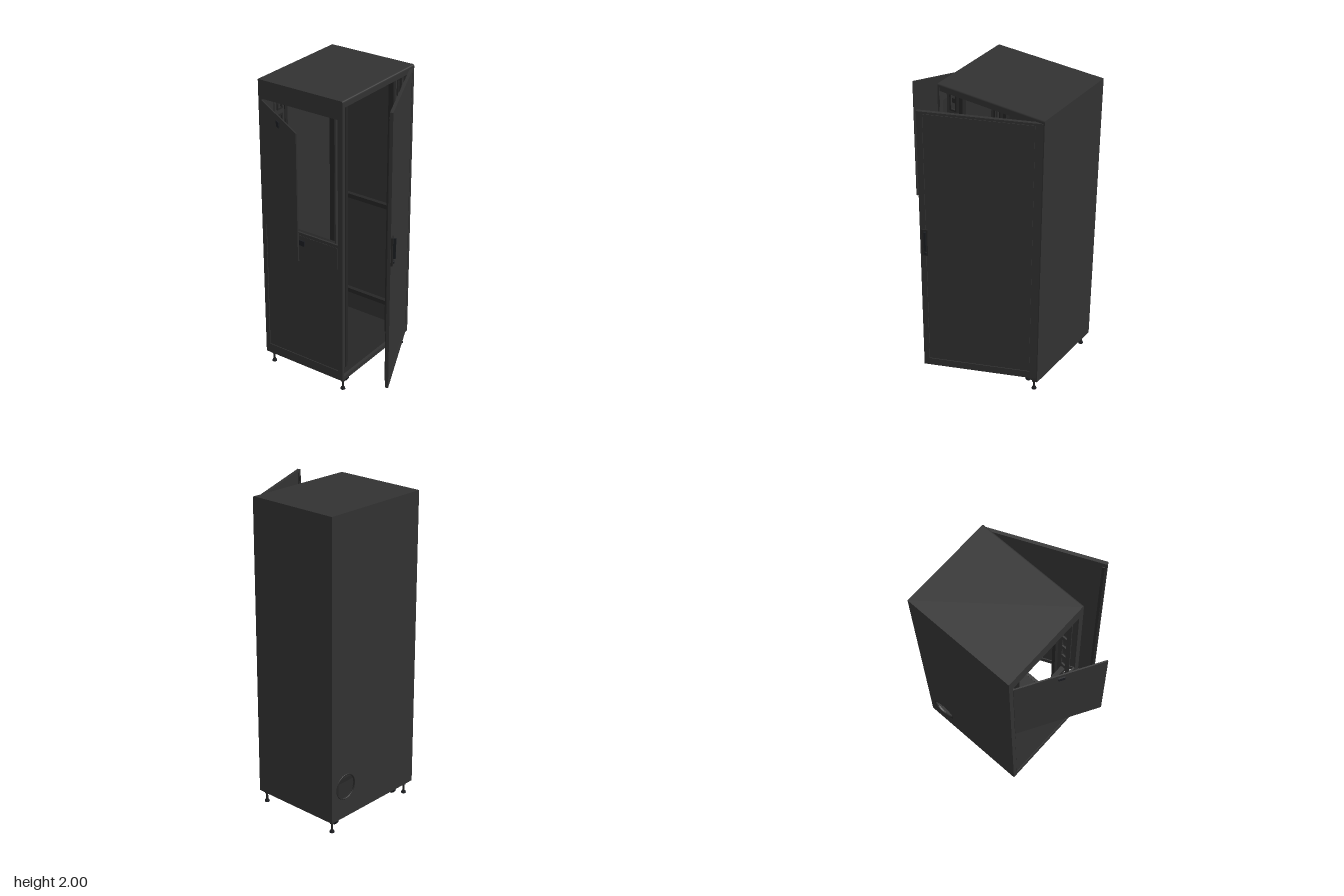
import * as THREE from 'three';

export function createModel() {
  const root = new THREE.Group();
  const mat = (name, color) => {
    const m = new THREE.MeshStandardMaterial({ color });
    m.name = name;
    return m;
  };
  const steel = mat('charcoal steel', 0x323232);
  const dark = mat('dark hardware', 0x262626);
  const black = mat('black rubber', 0x1c1e22);

  const add = (name, geo, m, parent = root) => {
    const mesh = new THREE.Mesh(geo, m);
    mesh.name = name;
    parent.add(mesh);
    return mesh;
  };
  // Box given by its limits on each axis
  const box = (name, m, x0, x1, y0, y1, z0, z1, parent) =>
    add(name, new THREE.BoxGeometry(x1 - x0, y1 - y0, z1 - z0)
      .translate((x0 + x1) / 2, (y0 + y1) / 2, (z0 + z1) / 2), m, parent);
  const cyl = (name, m, rTop, rBottom, x, y0, y1, z, parent) =>
    add(name, new THREE.CylinderGeometry(rTop, rBottom, y1 - y0, 16)
      .translate(x, (y0 + y1) / 2, z), m, parent);
  const rect = (P, x0, x1, y0, y1) => {
    const p = new P();
    p.moveTo(x0, y0);
    p.lineTo(x1, y0);
    p.lineTo(x1, y1);
    p.lineTo(x0, y1);
    p.closePath();
    return p;
  };
  const plate = (shape, depth) =>
    new THREE.ExtrudeGeometry(shape, { depth, bevelEnabled: false, curveSegments: 16 });

  const L = -0.237, R = 0.512, B = -0.47, F = 0.15, Y0 = 0.085, Y1 = 2;

  // Roof with a rounded front edge, extruded across the width
  const roof = new THREE.Shape();
  roof.moveTo(-F, Y1 - 0.02);
  roof.lineTo(-B, Y1 - 0.02);
  roof.lineTo(-B, Y1);
  roof.lineTo(-F + 0.012, Y1);
  roof.quadraticCurveTo(-F, Y1, -F, Y1 - 0.012);
  add('roof', plate(roof, R - L).rotateY(Math.PI / 2).translate(L, 0, 0), steel);

  // Closed side and floor
  box('leftSide', steel, R - 0.012, R, Y0, Y1 - 0.02, B, F);
  box('floor', dark, L + 0.012, R - 0.012, Y0 + 0.015, Y0 + 0.025, B + 0.01, F - 0.01);
  box('frontSill', steel, L, R - 0.012, Y0, Y0 + 0.028, F - 0.02, F);
  box('floorRailLeft', dark, R - 0.035, R - 0.012, Y0, Y0 + 0.015, B + 0.012, F - 0.02);
  box('floorRailRight', dark, L + 0.012, L + 0.035, Y0, Y0 + 0.015, B + 0.012, F - 0.02);

  // Back wall with a round cable port
  const back = rect(THREE.Shape, L, R - 0.012, Y0, Y1 - 0.02);
  const port = new THREE.Path();
  port.absarc(0.39, 0.29, 0.08, 0, Math.PI * 2, true);
  back.holes.push(port);
  add('backWall', plate(back, 0.012).translate(0, 0, B), steel);
  add('portRim', new THREE.TorusGeometry(0.08, 0.004, 8, 32).translate(0.39, 0.29, B + 0.002), dark);

  // Open side: frame with an upper opening and a closed lower panel
  const frame = rect(THREE.Shape, -F, -B - 0.012, Y0, Y1 - 0.02);
  frame.holes.push(rect(THREE.Path, -F + 0.035, 0.44, 1.06, 1.88));
  frame.holes.push(rect(THREE.Path, -F + 0.035, 0.44, 0.15, 1.04));
  add('sideFrame', plate(frame, 0.012).rotateY(Math.PI / 2).translate(L, 0, 0), steel);
  box('lowerSidePanel', steel, L + 0.002, L + 0.01, 0.153, 1.037, -0.437, F - 0.038);
  box('lowerPanelLatch', black, L - 0.008, L + 0.004, 0.975, 1.01, -0.176, -0.138);

  // Front corner posts and header
  box('frontHeader', steel, L, R - 0.012, 1.955, 1.98, F - 0.025, F - 0.003);
  box('frontPostLeft', steel, R - 0.032, R - 0.012, 0.113, 1.955, F - 0.025, F - 0.003);
  box('frontPostRight', steel, L + 0.002, L + 0.014, 0.113, 1.955, F - 0.025, F - 0.003);

  // Mounting rails with slotted side plates, mirrored left and right, front and back
  const slots = [0.26, 0.41, 0.56, 0.69, 0.83, 0.97, 1.12, 1.27, 1.42, 1.57, 1.72, 1.87];
  const mid = (L + R) / 2;
  for (const z of [0.08, -0.37]) {
    for (const s of [-1, 1]) {
      const railShape = rect(THREE.Shape, -0.048, 0.048, 0.112, 1.975);
      for (const y of slots) railShape.holes.push(rect(THREE.Path, -0.016, 0.016, y - 0.05, y + 0.05));
      const x = mid + s * 0.308;
      add('railPlate', plate(railShape, 0.006).translate(x, 0, z), steel);
      for (const y of slots) {
        const rim = rect(THREE.Shape, -0.026, 0.026, y - 0.06, y + 0.06);
        rim.holes.push(rect(THREE.Path, -0.016, 0.016, y - 0.05, y + 0.05));
        add('slotRim', plate(rim, 0.005).translate(x, 0, z + 0.006), dark);
      }
      const inner = mid + s * 0.25;
      box('mountingRail', dark, inner - 0.012, inner + 0.012, 0.112, 1.975, z - 0.025, z + 0.012);
    }
  }
  // Depth beams joining the rails
  for (const s of [-1, 1]) {
    const x = mid + s * 0.31;
    for (const y of [0.28, 1.0, 1.86]) box('depthBeam', dark, x - 0.015, x + 0.015, y, y + 0.03, -0.36, 0.078);
  }
  for (const y of [0.27, 1.92]) box('crossBeam', dark, L + 0.012, R - 0.012, y, y + 0.025, -0.4, -0.38);

  // Front door, hinged at its left edge and standing ajar
  const door = new THREE.Group();
  door.name = 'frontDoor';
  door.position.set(0.505, 0, F);
  door.rotation.y = 0.42;
  root.add(door);
  const doorFrame = rect(THREE.Shape, -0.73, 0, 0.113, 1.98);
  doorFrame.holes.push(rect(THREE.Path, -0.695, -0.045, 0.165, 1.965));
  add('doorFrame', plate(doorFrame, 0.02).translate(0, 0, -0.02), steel, door);
  box('doorPanel', steel, -0.692, -0.048, 0.168, 1.962, -0.012, -0.002, door);
  box('doorBacking', steel, -0.697, -0.043, 0.163, 1.967, -0.014, -0.008, door);
  for (const x of [-0.71, -0.035]) box('doorStiffener', dark, x - 0.008, x + 0.008, 0.16, 1.94, -0.026, -0.02, door);
  box('handlePlate', dark, -0.72, -0.682, 0.985, 1.175, 0, 0.01, door);
  box('handleLever', black, -0.703, -0.69, 1.03, 1.165, 0.01, 0.026, door);
  cyl('handleLock', black, 0.009, 0.009, 0, -0.008, 0.008, 0, door)
    .position.set(-0.697, 1.005, 0.01);
  door.getObjectByName('handleLock').rotation.x = Math.PI / 2;

  // Upper side panel, swung open on its rear edge
  const flap = new THREE.Group();
  flap.name = 'upperSidePanel';
  flap.position.set(L, 0, -0.44);
  flap.rotation.y = -0.53;
  root.add(flap);
  box('flapSheet', steel, -0.008, 0, 1.055, 1.875, 0, 0.55, flap);
  box('flapLatch', black, -0.016, 0.004, 1.81, 1.845, 0.26, 0.3, flap);

  // Levelling feet and casters at the four corners
  for (const x of [-0.2, 0.475]) {
    for (const z of [0.125, -0.435]) {
      cyl('footPad', black, 0.013, 0.016, x, 0, 0.012, z);
      cyl('footStem', dark, 0.007, 0.007, x, 0.012, Y0 + 0.01, z);
      cyl('footNut', dark, 0.015, 0.013, x, 0.06, 0.078, z);
    }
  }
  for (const x of [-0.13, 0.41]) {
    for (const z of [0.085, -0.39]) {
      const wheel = cyl('casterWheel', black, 0.033, 0.033, 0, -0.008, 0.008, 0);
      wheel.position.set(x, 0.045, z);
      wheel.rotation.z = Math.PI / 2;
      for (const s of [-1, 1]) box('casterFork', dark, x + s * 0.013 - 0.002, x + s * 0.013 + 0.002, 0.035, Y0, z - 0.012, z + 0.012);
      box('casterMount', dark, x - 0.02, x + 0.02, 0.079, Y0 + 0.016, z - 0.02, z + 0.02);
    }
  }
  return root;
}
